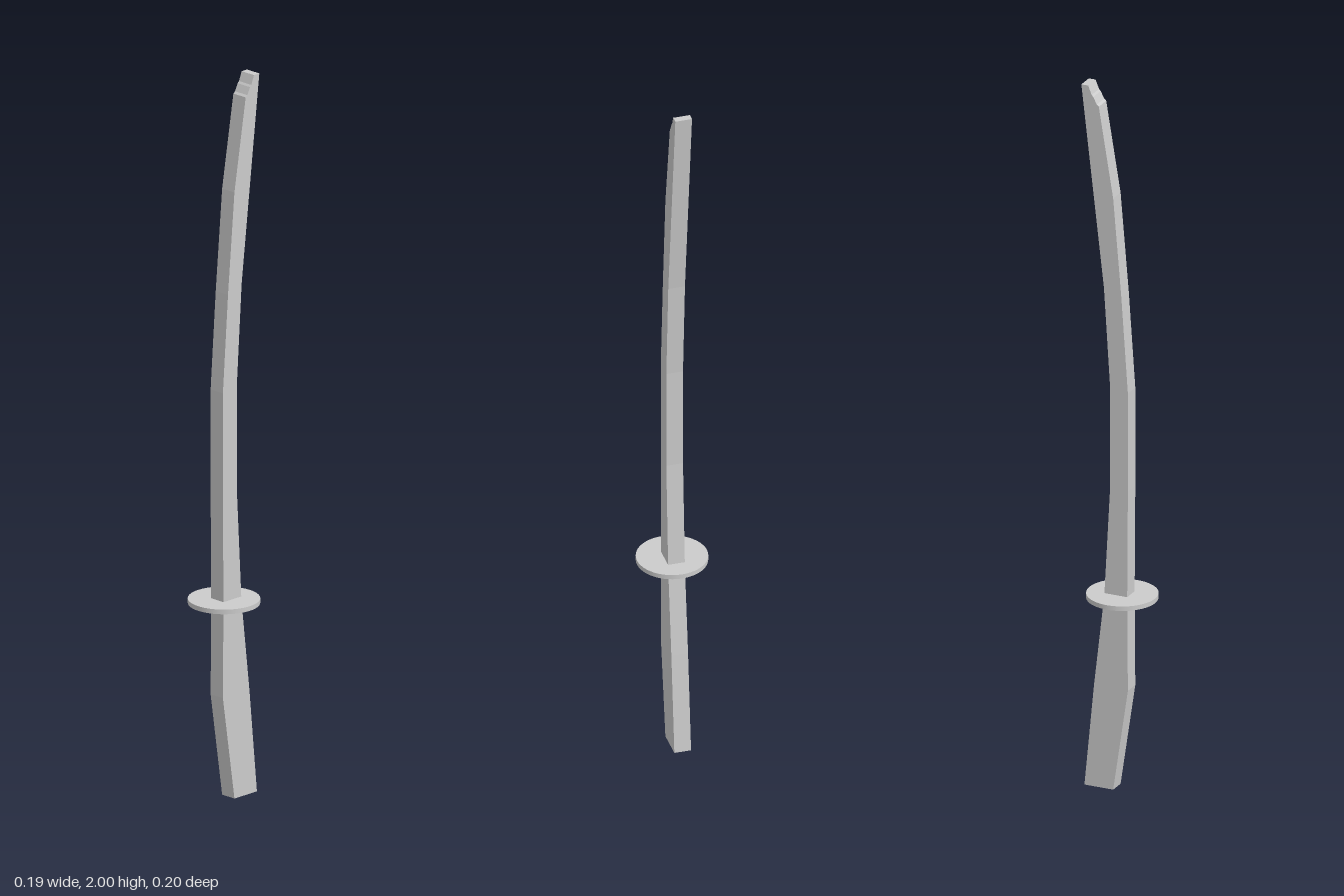
import * as THREE from 'three';

const material = new THREE.MeshStandardMaterial({ color: 0xcccccc, flatShading: true });
const WIDTH = 0.046;

// Extrudes a side outline of [z, y] points across the width of the sword.
function slab(name, outline) {
  const shape = new THREE.Shape(outline.map(([z, y]) => new THREE.Vector2(z, y)));
  const geometry = new THREE.ExtrudeGeometry(shape, { depth: WIDTH, bevelEnabled: false });
  geometry.translate(0, 0, -WIDTH / 2).rotateY(-Math.PI / 2);
  const mesh = new THREE.Mesh(geometry, material);
  mesh.name = name;
  return mesh;
}

export function createModel() {
  const sword = new THREE.Group();
  sword.name = 'sword';

  // Grip, flaring backward toward the pommel end
  sword.add(slab('grip', [
    [-0.01, 0], [0.033, 0.29], [0.031, 0.55],
    [-0.036, 0.55], [-0.066, 0.29], [-0.094, 0],
  ]));

  // Curved blade with a stepped tip
  sword.add(slab('blade', [
    [0.031, 0.55], [0.033, 0.86], [0.033, 1.14], [0.014, 1.41], [-0.01, 1.69],
    [-0.052, 1.945], [-0.058, 1.95], [-0.068, 1.97], [-0.073, 1.975], [-0.083, 2],
    [-0.103, 2], [-0.037, 1.43], [-0.019, 1.15], [-0.019, 0.86], [-0.036, 0.55],
  ]));

  // Round hand guard
  const guardGeometry = new THREE.CylinderGeometry(0.096, 0.096, 0.013, 48);
  const guard = new THREE.Mesh(guardGeometry, new THREE.MeshStandardMaterial({ color: 0xcccccc }));
  guard.name = 'guard';
  guard.position.set(0, 0.551, 0.006);
  sword.add(guard);

  return sword;
}
